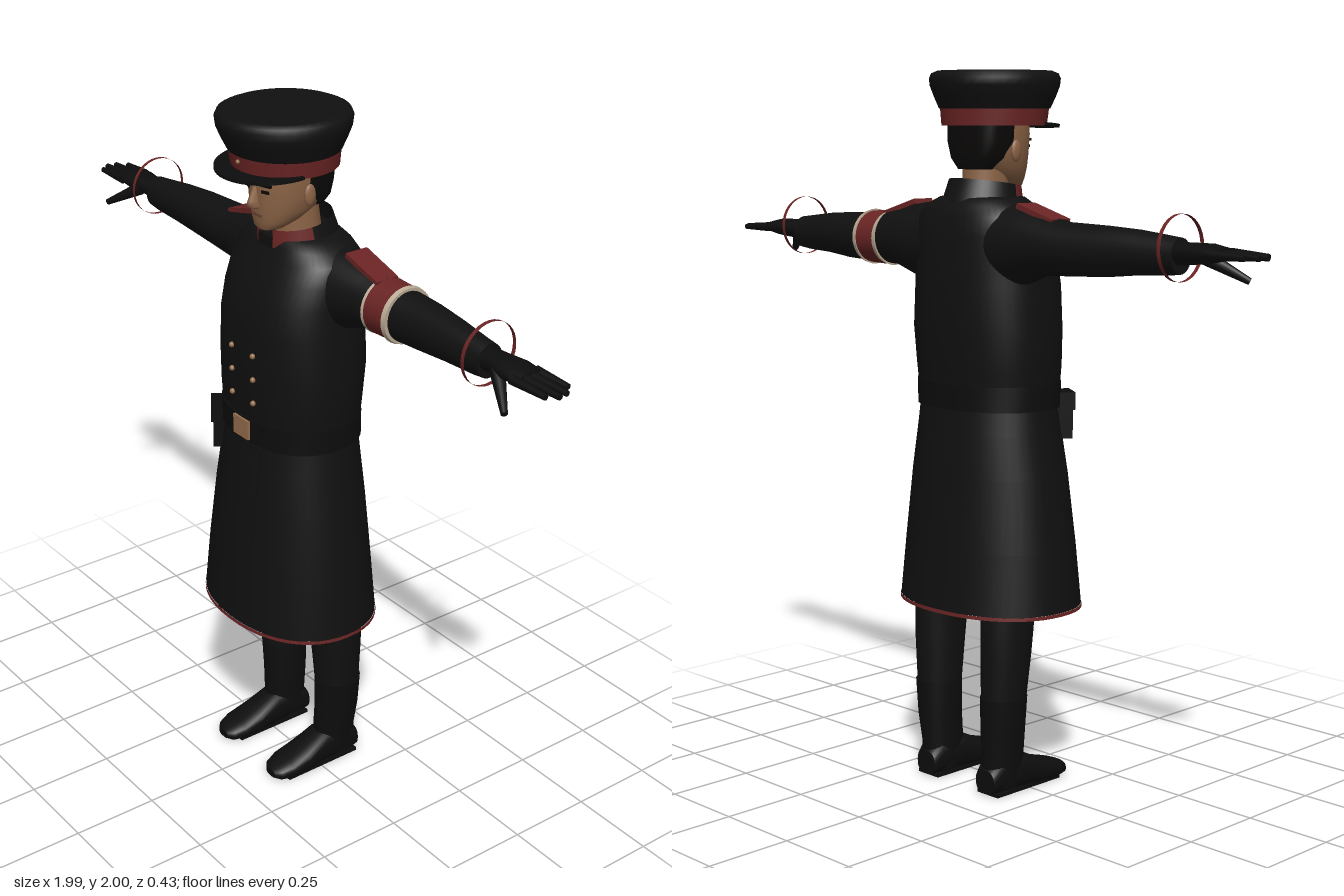
import * as THREE from 'three';

const mat = (name, color, side = THREE.FrontSide) => {
  const m = new THREE.MeshStandardMaterial({ color, side });
  m.name = name;
  return m;
};

// Smooth skin through superellipse sections [t, a, b, ra, rb] along one axis
function loft(axis, sections, { n = 32, p = 2, caps = true } = {}) {
  const place = {
    x: (t, a, b) => [t, a, b],
    y: (t, a, b) => [a, t, b],
    z: (t, a, b) => [a, b, t],
  }[axis];
  const flip = (axis === 'y') !== (sections[sections.length - 1][0] < sections[0][0]);
  const pos = [], idx = [];
  const tri = (a, b, c) => (flip ? idx.push(a, c, b) : idx.push(a, b, c));
  const bend = (v) => Math.sign(v) * Math.abs(v) ** (2 / p);
  const ring = ([t, a, b, ra, rb]) => {
    const start = pos.length / 3;
    for (let i = 0; i < n; i++) {
      const u = (i / n) * Math.PI * 2;
      pos.push(...place(t, a + ra * bend(Math.cos(u)), b + rb * bend(Math.sin(u))));
    }
    return start;
  };
  const starts = sections.map(ring);
  for (let k = 0; k + 1 < starts.length; k++) {
    for (let i = 0; i < n; i++) {
      const j = (i + 1) % n, a = starts[k], b = starts[k + 1];
      tri(a + i, a + j, b + i);
      tri(a + j, b + j, b + i);
    }
  }
  if (caps) {
    [sections[0], sections[sections.length - 1]].forEach((s, end) => {
      const start = ring(s), c = pos.length / 3;
      pos.push(...place(s[0], s[1], s[2]));
      for (let i = 0; i < n; i++) {
        const j = (i + 1) % n;
        if (end) tri(c, start + i, start + j);
        else tri(c, start + j, start + i);
      }
    });
  }
  const g = new THREE.BufferGeometry();
  g.setAttribute('position', new THREE.Float32BufferAttribute(pos, 3));
  g.setIndex(idx);
  g.computeVertexNormals();
  return g;
}

export function createModel() {
  const black = mat('blackCloth', 0x101010);
  const lining = mat('blackClothOpen', 0x101010, THREE.DoubleSide);
  const leather = mat('blackLeather', 0x0d0d0d);
  const red = mat('redTrim', 0x6a2424, THREE.DoubleSide);
  const skin = mat('skin', 0x8c6446);
  const lip = mat('lips', 0x6e4436);
  const hair = mat('hair', 0x0b0908);
  const cream = mat('cream', 0xb9a994);
  const brass = mat('brass', 0x96704e);

  const model = new THREE.Group();
  model.name = 'uniformedFigure';
  const add = (name, geo, m, x = 0, y = 0, z = 0) => {
    const mesh = new THREE.Mesh(geo, m);
    mesh.name = name;
    mesh.position.set(x, y, z);
    model.add(mesh);
    return mesh;
  };
  const box = (name, m, size, at) => add(name, new THREE.BoxGeometry(...size), m, ...at);
  // Tapered rod between two points
  const rod = (name, m, from, to, r0, r1) => {
    const a = new THREE.Vector3(...from), b = new THREE.Vector3(...to);
    const d = b.clone().sub(a);
    const mesh = add(name, new THREE.CylinderGeometry(r1, r0, d.length(), 10), m);
    mesh.position.copy(a).addScaledVector(d, 0.5);
    mesh.quaternion.setFromUnitVectors(new THREE.Vector3(0, 1, 0), d.normalize());
  };

  // Greatcoat: open flared skirt and torso
  add('coatSkirt', loft('y', [
    [0.53, 0, 0, 0.279, 0.213], [0.7, 0, 0, 0.262, 0.199], [0.9, 0, -0.002, 0.238, 0.181],
    [1.02, 0, -0.004, 0.218, 0.169], [1.12, 0, -0.005, 0.206, 0.157],
  ], { n: 48, p: 2.2, caps: false }), lining);
  add('hemTrim', loft('y', [[0.52, 0, 0, 0.281, 0.215], [0.53, 0, 0, 0.28, 0.214]],
    { n: 48, p: 2.2, caps: false }), red);
  add('coatTorso', loft('y', [
    [1.1, 0, -0.005, 0.206, 0.157], [1.2, 0, -0.006, 0.216, 0.163], [1.3, 0, -0.01, 0.22, 0.168],
    [1.42, 0, -0.01, 0.212, 0.168], [1.5, 0, -0.016, 0.208, 0.158], [1.56, 0, -0.026, 0.206, 0.144],
    [1.61, 0, -0.035, 0.196, 0.128], [1.64, 0, -0.035, 0.165, 0.112],
    [1.66, 0, -0.03, 0.12, 0.1], [1.668, 0, -0.025, 0.08, 0.07],
  ], { n: 48, p: 2.4 }), black);
  box('frontFlapEdge', black, [0.006, 0.54, 0.008], [0.075, 0.81, 0.18]).rotation.x = -0.1;

  // Belt, buckle and pouch
  add('belt', loft('y', [
    [1.085, 0, -0.005, 0.214, 0.166], [1.155, 0, -0.005, 0.214, 0.166],
  ], { n: 48, p: 2.3 }), leather);
  box('buckle', brass, [0.068, 0.056, 0.009], [0, 1.122, 0.163]);
  box('holster', leather, [0.075, 0.12, 0.05], [-0.165, 1.055, 0.115]).rotation.y = -0.6;
  box('holsterFlap', leather, [0.082, 0.05, 0.056], [-0.167, 1.1, 0.117]).rotation.y = -0.6;

  // Two columns of buttons
  for (const s of [-1, 1]) {
    for (const y of [1.35, 1.28, 1.21]) {
      add('button', new THREE.SphereGeometry(0.008, 10, 8), brass, s * 0.048, y, 0.159);
    }
  }

  // Standing collar with red front tabs
  const collarArc = (name, m, start, length) => {
    const g = new THREE.CylinderGeometry(0.1, 0.118, 0.085, 24, 1, true, start, length);
    add(name, g, m, 0, 1.656, -0.025).rotation.x = 0.14;
  };
  collarArc('collarTabLeft', red, 0.28, 1.1);
  collarArc('collarTabRight', red, -1.38, 1.1);
  collarArc('collarBack', lining, 1.38, Math.PI * 2 - 2.76);
  box('shirtFront', black, [0.06, 0.05, 0.02], [0, 1.64, 0.07]);

  // Neck and head
  add('neck', loft('y', [[1.63, 0, -0.025, 0.066, 0.07], [1.72, 0, -0.018, 0.06, 0.065],
    [1.8, 0, -0.02, 0.06, 0.065]]), skin);
  add('head', loft('y', [
    [1.682, 0, 0.075, 0.022, 0.02], [1.69, 0, 0.066, 0.043, 0.037], [1.71, 0, 0.042, 0.062, 0.064],
    [1.74, 0, 0.02, 0.079, 0.09], [1.78, 0, 0.012, 0.088, 0.1], [1.83, 0, 0.01, 0.092, 0.105],
    [1.88, 0, 0.01, 0.09, 0.1],
  ], { p: 2.2 }), skin);
  add('nose', loft('y', [
    [1.745, 0, 0.108, 0.012, 0.01], [1.754, 0, 0.112, 0.018, 0.026], [1.768, 0, 0.112, 0.012, 0.022],
    [1.805, 0, 0.108, 0.008, 0.01],
  ], { n: 12 }), skin);
  box('mouth', lip, [0.04, 0.008, 0.009], [0, 1.726, 0.104]);
  add('hair', loft('y', [
    [1.735, 0, -0.055, 0.055, 0.03], [1.765, 0, -0.046, 0.08, 0.052],
    [1.81, 0, -0.036, 0.096, 0.066], [1.88, 0, -0.034, 0.098, 0.068],
  ], { p: 3 }), hair);
  for (const s of [-1, 1]) {
    add('ear', new THREE.SphereGeometry(0.03, 12, 10), skin, s * 0.095, 1.785, 0.005).scale.set(0.3, 1, 0.6);
    const eye = box('eye', hair, [0.022, 0.008, 0.008], [s * 0.037, 1.797, 0.105]);
    const brow = box('eyebrow', hair, [0.036, 0.007, 0.008], [s * 0.038, 1.815, 0.106]);
    eye.rotation.y = brow.rotation.y = s * 0.3;
  }

  // Peaked cap
  add('capBand', loft('y', [[1.853, 0, 0.015, 0.146, 0.143], [1.908, 0, 0.017, 0.152, 0.149]], { n: 40 }), red);
  add('capCrown', loft('y', [
    [1.898, 0, 0.017, 0.154, 0.151], [1.93, 0, 0.018, 0.167, 0.167], [1.96, 0, 0.018, 0.177, 0.18],
    [1.98, 0, 0.018, 0.178, 0.183], [1.993, 0, 0.018, 0.172, 0.177], [2, 0, 0.018, 0.155, 0.16],
  ], { n: 40 }), black);
  const visor = new THREE.CylinderGeometry(0.148, 0.148, 0.008, 24, 1, false, -Math.PI / 2, Math.PI);
  add('capVisor', visor, leather, 0, 1.858, 0.062).rotation.x = 0.06;
  add('capStud', new THREE.SphereGeometry(0.006, 8, 6), brass, 0, 1.882, 0.165);

  // Sleeves, shoulder boards, cuffs, gloves and legs on both sides
  for (const s of [-1, 1]) {
    const side = s > 0 ? 'left' : 'right';
    const along = (rows) => rows.map(([x, ...rest]) => [s * x, ...rest]);
    add(side + 'Sleeve', loft('x', along([
      [0.1, 1.535, -0.05, 0.115, 0.1], [0.2, 1.535, -0.06, 0.104, 0.092], [0.28, 1.542, -0.067, 0.081, 0.08],
      [0.36, 1.535, -0.07, 0.071, 0.072], [0.5, 1.536, -0.07, 0.066, 0.06], [0.6, 1.538, -0.064, 0.058, 0.052],
      [0.7, 1.535, -0.06, 0.05, 0.043], [0.735, 1.535, -0.06, 0.046, 0.04],
    ])), black);
    box(side + 'ShoulderBoard', red, [0.135, 0.014, 0.07], [s * 0.265, 1.624, -0.066]).rotation.z = -s * 0.29;
    add(side + 'CuffRing', loft('x', along([
      [0.725, 1.555, -0.058, 0.085, 0.085], [0.737, 1.555, -0.058, 0.085, 0.085],
    ]), { caps: false }), red);
    add(side + 'Palm', loft('x', along([
      [0.72, 1.54, -0.06, 0.03, 0.033], [0.77, 1.543, -0.06, 0.028, 0.036],
      [0.83, 1.546, -0.058, 0.025, 0.048], [0.88, 1.546, -0.058, 0.015, 0.045],
    ]), { n: 20 }), leather);
    [[-0.096, 0.965], [-0.07, 0.99], [-0.044, 0.995], [-0.018, 0.975]].forEach(([z, tip]) =>
      rod(side + 'Finger', leather, [s * 0.86, 1.546, z], [s * tip, 1.543, z * 1.05], 0.014, 0.008));
    rod(side + 'Thumb', leather, [s * 0.79, 1.535, -0.035], [s * 0.885, 1.476, 0.025], 0.02, 0.009);

    add(side + 'Leg', loft('y', [
      [0.25, s * 0.13, -0.077, 0.058, 0.066], [0.4, s * 0.133, -0.07, 0.066, 0.076],
      [0.53, s * 0.133, -0.062, 0.07, 0.083], [0.95, s * 0.115, -0.03, 0.09, 0.1],
    ]), black);
    add(side + 'BootShaft', loft('y', [
      [0.02, s * 0.121, -0.08, 0.047, 0.058], [0.1, s * 0.123, -0.072, 0.05, 0.066],
      [0.18, s * 0.128, -0.077, 0.058, 0.067], [0.28, s * 0.132, -0.077, 0.062, 0.07],
    ]), leather);
    add(side + 'BootFoot', loft('z', [
      [-0.14, s * 0.121, 0.04, 0.036, 0.034], [-0.11, s * 0.121, 0.055, 0.048, 0.051],
      [-0.02, s * 0.121, 0.055, 0.049, 0.053], [0.05, s * 0.122, 0.038, 0.055, 0.036],
      [0.11, s * 0.122, 0.029, 0.054, 0.027], [0.145, s * 0.122, 0.024, 0.042, 0.02],
      [0.16, s * 0.122, 0.022, 0.022, 0.012],
    ], { n: 24, p: 2.6 }), leather);
    box(side + 'Sole', leather, [0.08, 0.01, 0.25], [s * 0.122, 0.005, -0.005]);
  }

  // Plain armband with pale edging on the left sleeve
  const band = (name, m, x0, x1, grow) => add(name, loft('x', [
    [x0, 1.536, -0.069, 0.073 + grow, 0.074 + grow], [x1, 1.536, -0.07, 0.07 + grow, 0.072 + grow],
  ]), m);
  band('armband', red, 0.325, 0.405, 0.004);
  band('armbandInnerEdge', cream, 0.318, 0.33, 0.006);
  band('armbandOuterEdge', cream, 0.4, 0.412, 0.006);

  return model;
}
